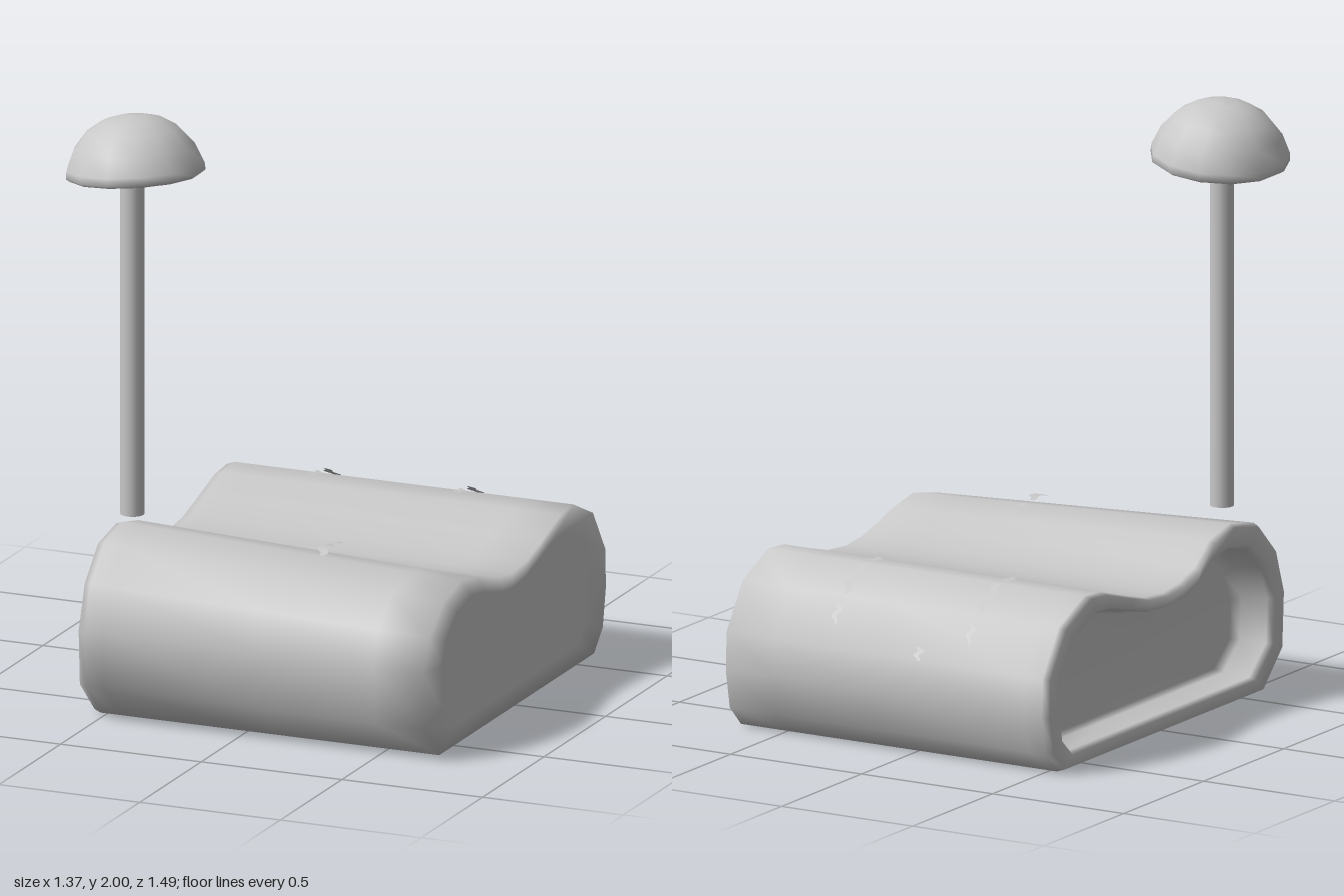
import * as THREE from 'three';

const clay = new THREE.MeshStandardMaterial({ color: 0xc8c8c8, side: THREE.DoubleSide });
clay.name = 'grey clay';

// body cross-section as [z, y, extra height at the raised right end]
const profile = [
  [0.62, 0, 0], [0.74, 0.12, 0], [0.75, 0.31, 0], [0.70, 0.42, 0.04], [0.59, 0.51, 0.06],
  [0.44, 0.543, 0.057], [0.31, 0.52, 0.05], [0.22, 0.493, 0.005], [0.12, 0.467, 0],
  [0.02, 0.456, 0], [-0.1, 0.467, 0], [-0.22, 0.5, 0], [-0.37, 0.545, 0], [-0.47, 0.553, 0],
  [-0.63, 0.48, 0], [-0.73, 0.33, 0], [-0.735, 0.2, 0], [-0.71, 0.07, 0], [-0.64, 0, 0],
  [-0.25, 0, 0], [0.2, 0, 0],
];
const X0 = -0.55, X1 = 0.68, MID = 0.25;

function point(x, sz, sy, [z, y, lift]) {
  const h = y + lift * (X1 - x) / (X1 - X0);
  return [x, MID + (h - MID) * sy, z * sz];
}

// joins rings [x, z scale, y scale] into one smooth skin
function loft(rings) {
  const n = profile.length, pos = [], idx = [];
  rings.forEach(([x, sz, sy], i) => {
    profile.forEach((p, j) => {
      pos.push(...point(x, sz, sy, p));
      if (i === rings.length - 1) return;
      const a = i * n + j, c = i * n + (j + 1) % n;
      idx.push(a, a + n, c, a + n, c + n, c);
    });
  });
  const g = new THREE.BufferGeometry();
  g.setAttribute('position', new THREE.Float32BufferAttribute(pos, 3));
  g.setIndex(idx);
  g.computeVertexNormals();
  return g;
}

// thin wavy flake following a path of [x, y, z] points
function flake(path, width) {
  const curve = new THREE.CatmullRomCurve3(path.map(p => new THREE.Vector3(...p)));
  const pos = [], idx = [], n = 16;
  for (let i = 0; i <= n; i++) {
    const t = i / n, p = curve.getPoint(t);
    const w = width * (0.3 + 0.7 * Math.sin(Math.PI * t)) / 2;
    const x = p.x + Math.sin(t * 12) * 0.008;
    pos.push(x - w, p.y, p.z, x + w, p.y, p.z);
    if (i < n) idx.push(2 * i, 2 * i + 1, 2 * i + 2, 2 * i + 1, 2 * i + 3, 2 * i + 2);
  }
  const g = new THREE.BufferGeometry();
  g.setAttribute('position', new THREE.Float32BufferAttribute(pos, 3));
  g.setIndex(idx);
  g.computeVertexNormals();
  return g;
}

export function createModel() {
  const model = new THREE.Group();
  const add = (name, geometry) => {
    const mesh = new THREE.Mesh(geometry, clay);
    mesh.name = name;
    model.add(mesh);
    return mesh;
  };

  // two-humped body, recessed at one end and closed at the other
  add('body', loft([
    [-0.43, 0, 0], [-0.43, 0.8, 0.66], [-0.44, 0.87, 0.74], [-0.53, 0.89, 0.77],
    [-0.55, 0.91, 0.81], [-0.55, 0.985, 0.97], [-0.525, 1, 1], [-0.46, 1, 1],
    [0.1, 1, 1], [0.5, 1, 1], [X1, 1, 1], [X1, 0.8, 0.75], [X1, 0, 0],
  ]));

  // post hovering just above the raised corner
  add('post', new THREE.CylinderGeometry(0.04, 0.04, 1.165, 16))
    .position.set(-0.472, 1.2275, 0.48);

  // tilted dome with a shallow hollow underneath
  const dome = [
    [0, 0.015], [0.15, 0.01], [0.215, -0.005], [0.23, 0.005], [0.228, 0.03], [0.2, 0.095],
    [0.155, 0.148], [0.1, 0.182], [0.05, 0.195], [0, 0.199],
  ].map(p => new THREE.Vector2(...p));
  const cap = add('domeCap', new THREE.LatheGeometry(dome, 13));
  cap.position.set(-0.457, 1.802, 0.49);
  cap.quaternion.setFromUnitVectors(
    new THREE.Vector3(0, 1, 0), new THREE.Vector3(-0.1, 1, -0.07).normalize());

  // small loose flakes over the humps
  for (const x of [-0.22, 0.29]) {
    add('backFlake', flake([[x, 0.562, -0.41], [x, 0.56, -0.47]], 0.03));
    add('backFlake', flake([[x, 0.56, -0.5], [x, 0.525, -0.57], [x, 0.49, -0.63]], 0.035));
    add('backFlake', flake([[x, 0.46, -0.66], [x, 0.4, -0.7]], 0.02));
  }
  add('backFlake', flake([[-0.05, 0.37, -0.715], [-0.05, 0.33, -0.74]], 0.025));
  add('frontFlake', flake([[0.2, 0.585, 0.49], [0.2, 0.6, 0.44], [0.2, 0.595, 0.38]], 0.04));
  add('frontFlake', flake([[0.2, 0.59, 0.35], [0.2, 0.585, 0.32]], 0.03));

  return model;
}
